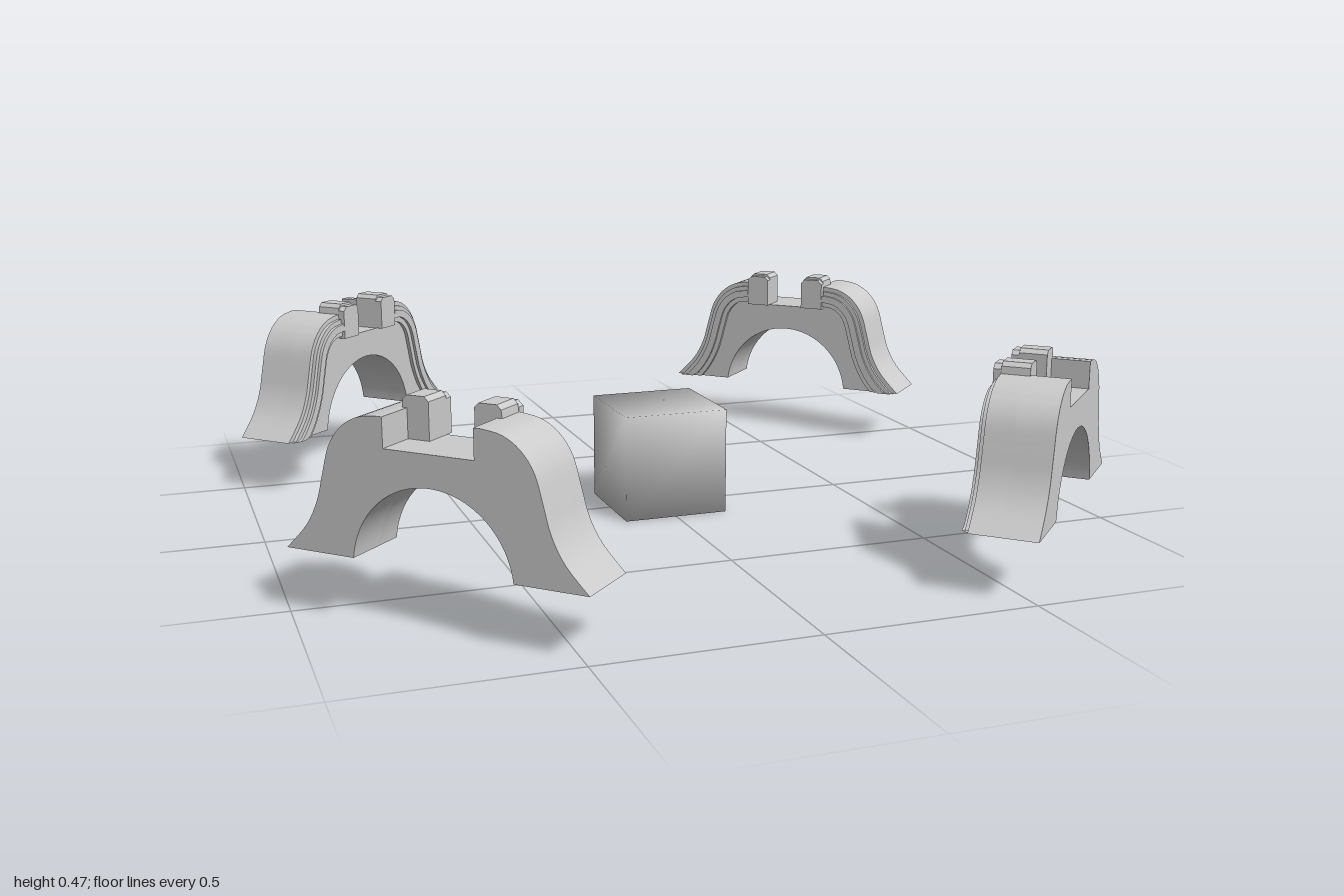
import * as THREE from 'three';
import { toCreasedNormals, mergeVertices } from 'three/addons/utils/BufferGeometryUtils.js';

const material = new THREE.MeshStandardMaterial({ color: 0xcccccc });
const FOOT = 0.14, FLOOR = 0.38, TOP = 0.445;
const INNER = 0.902, STEP = 0.967, OUTER = 1.056; // distances from the centre

// Outer edge of one half arch, from the crown down to the flared foot
const edge = new THREE.SplineCurve([
  [0.125, TOP], [0.17, 0.437], [0.21, 0.412], [0.24, 0.37], [0.258, 0.31],
  [0.275, 0.25], [0.305, 0.195], [0.357, FOOT],
].map(([x, y]) => new THREE.Vector2(x, y)));
const edgePoints = edge.getPoints(28);

function slab(name, shape, from, to) {
  const geometry = new THREE.ExtrudeGeometry(shape, { depth: to - from, bevelEnabled: false });
  geometry.translate(0, 0, from);
  const mesh = new THREE.Mesh(toCreasedNormals(geometry, 0.5), material);
  mesh.name = name;
  return mesh;
}

// Full arch outline: a half outline mirrored, then the round opening underneath
function archShape(notch) {
  const right = [...notch.map(([x, y]) => new THREE.Vector2(x, y)), ...edgePoints];
  const left = right.map((p) => new THREE.Vector2(-p.x, p.y)).reverse();
  const opening = [];
  const r = 0.19, cy = 0.12, a0 = Math.asin((FOOT - cy) / r);
  for (let i = 0; i <= 32; i++) {
    const a = a0 + (Math.PI - 2 * a0) * (i / 32);
    opening.push(new THREE.Vector2(r * Math.cos(a), cy + r * Math.sin(a)));
  }
  return new THREE.Shape([...right, ...opening, ...left]);
}

// Strip that follows the outer edge, between two inward offsets
function bandShape(near, far, side) {
  const offset = (d) => edgePoints.map((p, i) => {
    const t = edge.getTangent(i / (edgePoints.length - 1));
    return new THREE.Vector2(side * (p.x + t.y * d), Math.max(FOOT, p.y - t.x * d));
  });
  return new THREE.Shape([...offset(near), ...offset(far).reverse()]);
}

function createBracket() {
  const bracket = new THREE.Group();
  bracket.name = 'bracket';
  // Outer half with the wide notch
  bracket.add(slab('outerArch', archShape([[0.106, FLOOR], [0.106, TOP]]), STEP, OUTER));
  // Inner half with the narrow notch and its raised, chamfered tabs
  const tab = [[0.054, FLOOR], [0.054, 0.462], [0.064, 0.472], [0.106, 0.472], [0.116, 0.462], [0.118, TOP]];
  bracket.add(slab('innerArch', archShape(tab), INNER, STEP));
  for (const side of [-1, 1]) {
    // Stepped moulding on the inner face
    bracket.add(slab('lowerMoulding', bandShape(0.012, 0.058, side), INNER - 0.01, INNER));
    bracket.add(slab('upperMoulding', bandShape(0.024, 0.044, side), INNER - 0.018, INNER - 0.01));
    // Tab face standing proud of the inner face
    const face = new THREE.Shape([
      [0.054, FLOOR], [0.118, FLOOR], [0.118, 0.455], [0.106, 0.466], [0.064, 0.466], [0.054, 0.456],
    ].map(([x, y]) => new THREE.Vector2(side * x, y)));
    bracket.add(slab('tabFace', face, INNER - 0.018, INNER));
  }
  return bracket;
}

export function createModel() {
  const model = new THREE.Group();
  model.name = 'bracketSet';

  // Central cube with soft shared normals
  const size = 0.266;
  let box = new THREE.BoxGeometry(size, size, size);
  box.deleteAttribute('normal');
  box.deleteAttribute('uv');
  box = mergeVertices(box);
  box.setAttribute('normal', box.attributes.position.clone());
  box.normalizeNormals();
  const cube = new THREE.Mesh(box, material);
  cube.name = 'centreCube';
  cube.position.y = size / 2;
  model.add(cube);

  // Four arched brackets on the diagonals
  const bracket = createBracket();
  for (let i = 0; i < 4; i++) {
    const copy = bracket.clone();
    copy.rotation.y = Math.PI / 4 + (i * Math.PI) / 2;
    model.add(copy);
  }
  return model;
}
